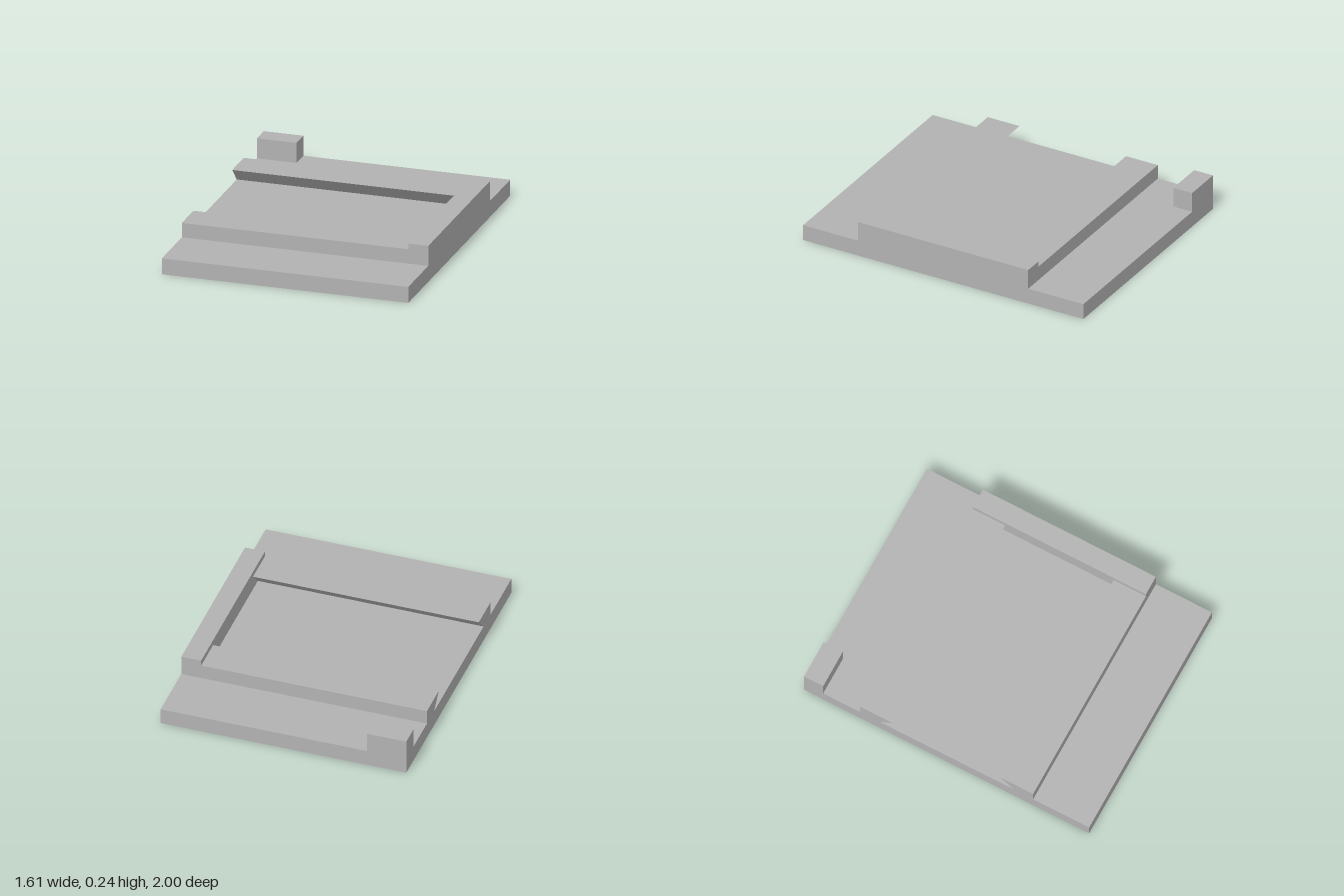
import * as THREE from 'three';

export function createModel() {
  const group = new THREE.Group();
  const grey = new THREE.MeshStandardMaterial({ color: 0xb2b2b2 });
  grey.name = 'plain grey';

  const add = (geometry, name) => {
    const mesh = new THREE.Mesh(geometry, grey);
    mesh.name = name;
    group.add(mesh);
  };

  // box given by its minimum and maximum corners
  const box = (name, [x0, y0, z0], [x1, y1, z1]) => {
    const geometry = new THREE.BoxGeometry(x1 - x0, y1 - y0, z1 - z0);
    geometry.translate((x0 + x1) / 2, (y0 + y1) / 2, (z0 + z1) / 2);
    add(geometry, name);
  };

  const baseTop = 0.105, railTop = 0.2, wallTop = 0.237;
  const halfX = 0.803, wallX = 0.673, railZ = 0.607;

  box('basePlate', [-halfX, 0, -1], [halfX, baseTop, 1]);
  box('endStop', [wallX, baseTop, -railZ], [halfX, wallTop, railZ]);
  box('cornerBlock', [-halfX, baseTop, -1], [-0.545, wallTop, -0.866]);

  // undercut dovetail rails, mirrored front to back
  for (const side of [1, -1]) {
    const profile = new THREE.Shape([
      [railZ, baseTop], [railZ, railTop], [0.38, railTop], [0.472, baseTop],
    ].map(([z, y]) => new THREE.Vector2(-side * z, y)));
    const geometry = new THREE.ExtrudeGeometry(profile, { depth: wallX + halfX, bevelEnabled: false });
    geometry.rotateY(Math.PI / 2).translate(-halfX, 0, 0);
    add(geometry, side > 0 ? 'frontRail' : 'backRail');
  }
  return group;
}
